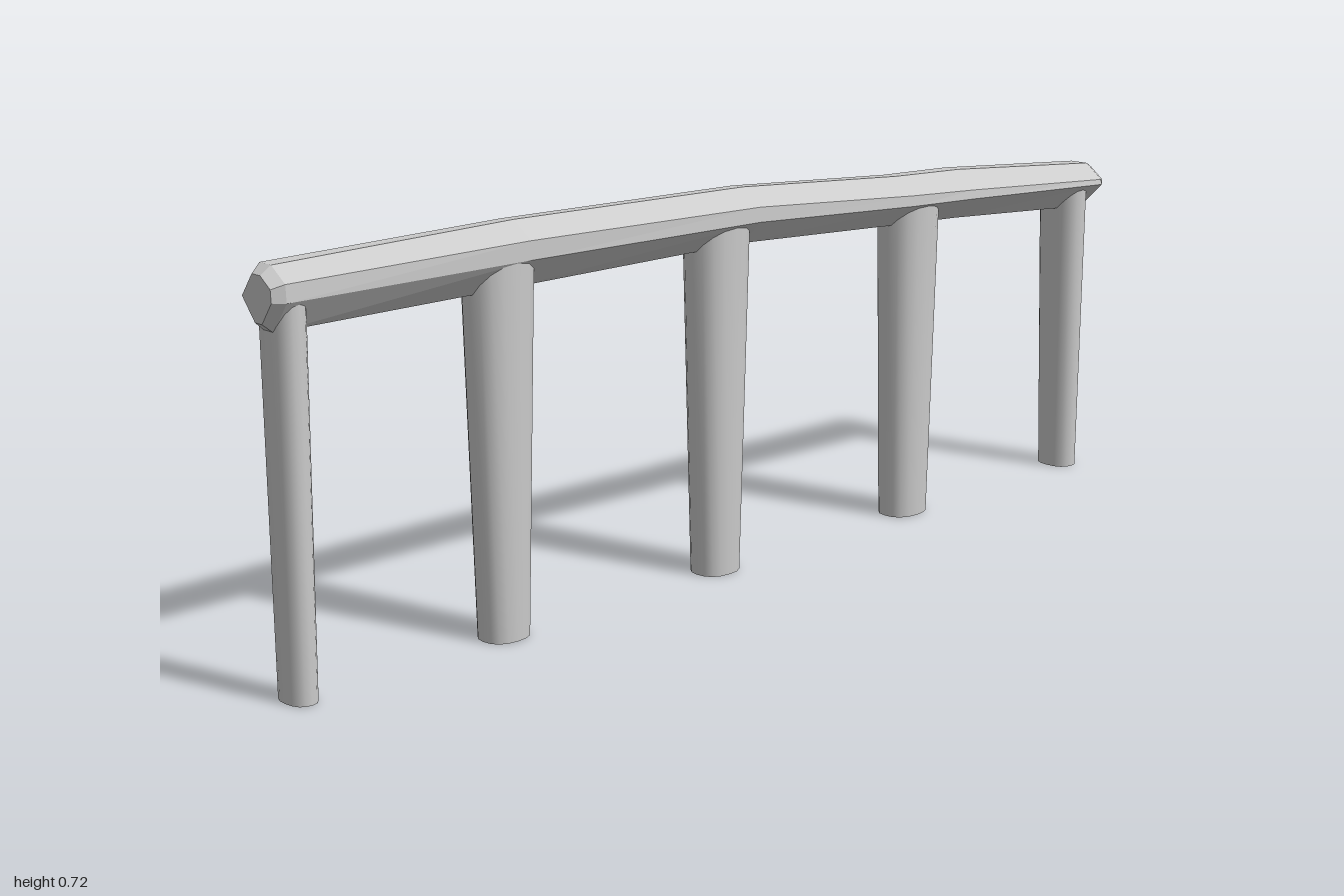
import * as THREE from 'three';
import { toCreasedNormals } from 'three/addons/utils/BufferGeometryUtils.js';

// Skin a list of rings (equal point counts, counter-clockwise seen from the last ring) and cap both ends
function loft(rings) {
  const n = rings[0].length, pos = [];
  const tri = (...pts) => pts.forEach((p) => pos.push(...p));
  for (let i = 0; i < rings.length - 1; i++) {
    for (let j = 0; j < n; j++) {
      const k = (j + 1) % n;
      const a = rings[i][j], b = rings[i][k], c = rings[i + 1][k], d = rings[i + 1][j];
      tri(a, b, d);
      tri(b, c, d);
    }
  }
  const first = rings[0], last = rings[rings.length - 1];
  for (let j = 1; j < n - 1; j++) {
    tri(first[0], first[j + 1], first[j]);
    tri(last[0], last[j], last[j + 1]);
  }
  const g = new THREE.BufferGeometry();
  g.setAttribute('position', new THREE.Float32BufferAttribute(pos, 3));
  g.computeVertexNormals();
  return g;
}

// Beam stations: x, then [z, y] of top, front corners, underside and back corner
const stations = [
  [-0.98, [0.0, 0.72], [0.035, 0.695], [0.037, 0.665], [0.0, 0.612], [-0.025, 0.612], [-0.069, 0.665], [-0.03, 0.72]],
  [-0.5, [0.012, 0.722], [0.056, 0.693], [0.056, 0.66], [0.01, 0.607], [-0.015, 0.607], [-0.061, 0.665], [-0.02, 0.719]],
  [0.03, [0.015, 0.702], [0.059, 0.672], [0.06, 0.645], [0.012, 0.6], [-0.012, 0.6], [-0.056, 0.645], [-0.015, 0.7]],
  [0.43, [0.018, 0.666], [0.06, 0.635], [0.061, 0.615], [0.012, 0.572], [-0.012, 0.572], [-0.053, 0.62], [-0.016, 0.664]],
  [0.6, [0.02, 0.656], [0.06, 0.622], [0.062, 0.605], [0.012, 0.561], [-0.012, 0.561], [-0.055, 0.61], [-0.014, 0.655]],
  [0.98, [0.027, 0.618], [0.064, 0.59], [0.066, 0.58], [0.014, 0.529], [-0.012, 0.527], [-0.052, 0.583], [-0.012, 0.617]],
];

function beamRings() {
  const rings = stations.map(([x, ...pts]) => pts.map(([z, y]) => [x, y, z]));
  // Shrunken copy of an end section, for the chamfered tip
  const tip = (ring, x) => {
    const c = [1, 2].map((a) => ring.reduce((s, p) => s + p[a], 0) / ring.length);
    return ring.map(([, y, z]) => [x, c[0] + (y - c[0]) * 0.72, c[1] + (z - c[1]) * 0.72]);
  };
  return [tip(rings[0], -1), ...rings, tip(rings[rings.length - 1], 1)];
}

// Rounded post section at height y, between x0..x1 and z0..z1
function postRing(y, x0, x1, z0, z1) {
  const ring = [], sides = 16;
  const soft = (v) => Math.sign(v) * Math.pow(Math.abs(v), 0.85);
  for (let i = 0; i < sides; i++) {
    const t = (i / sides) * Math.PI * 2;
    ring.push([
      (x0 + x1) / 2 + ((x1 - x0) / 2) * soft(Math.cos(t)), y,
      (z0 + z1) / 2 - ((z1 - z0) / 2) * soft(Math.sin(t)),
    ]);
  }
  return ring;
}

// Posts: foot x range, head x range, head z range, head height
const posts = [
  [-0.985, -0.932, -0.982, -0.925, -0.058, 0.034, 0.665],
  [-0.573, -0.482, -0.59, -0.465, -0.053, 0.054, 0.662],
  [-0.07, 0.02, -0.085, 0.035, -0.05, 0.056, 0.648],
  [0.432, 0.528, 0.42, 0.535, -0.048, 0.057, 0.612],
  [0.917, 0.977, 0.904, 0.966, -0.046, 0.056, 0.585],
];

export function createModel() {
  const group = new THREE.Group();
  const add = (name, geometry, flatShading) => {
    const mesh = new THREE.Mesh(geometry, new THREE.MeshStandardMaterial({ color: 0xcccccc, flatShading }));
    mesh.name = name;
    group.add(mesh);
  };

  // Rough-hewn top rail
  add('topRail', loft(beamRings()), true);

  // Tapered posts, their heads buried in the rail
  posts.forEach(([f0, f1, h0, h1, z0, z1, top], i) => {
    const foot = postRing(0, f0, f1, -0.04, Math.min(0.038, z1));
    const head = postRing(top, h0, h1, z0, z1);
    add(`post${i + 1}`, toCreasedNormals(loft([foot, head]), 0.9), false);
  });
  return group;
}
